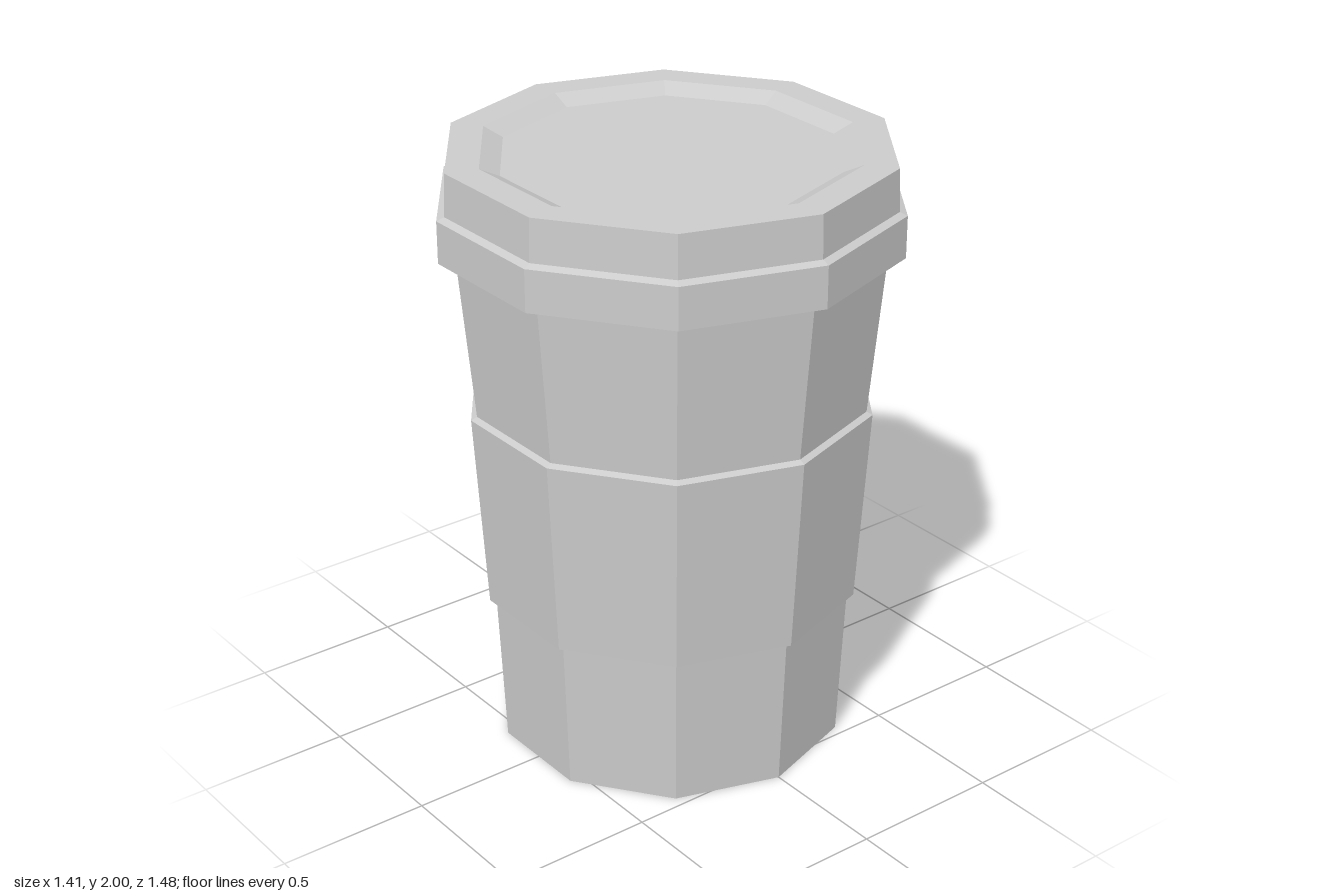
import * as THREE from 'three';

const SIDES = 10;

// Ten-sided turned part from [radius, height] pairs, listed bottom to top
function turned(name, profile, material) {
  const points = profile.map(([r, y]) => new THREE.Vector2(r, y));
  const mesh = new THREE.Mesh(new THREE.LatheGeometry(points, SIDES), material);
  mesh.name = name;
  return mesh;
}

export function createModel() {
  const group = new THREE.Group();
  group.name = 'takeawayCup';
  const material = new THREE.MeshStandardMaterial({ color: 0xcccccc, flatShading: true });

  // Tapered cup with a closed base, widening a little more towards the rim
  group.add(turned('cup', [
    [0, 0], [0.573, 0], [0.596, 0.515], [0.638, 1.18], [0.685, 1.7],
  ], material));

  // Raised sleeve band around the middle
  group.add(turned('sleeve', [
    [0.596, 0.512], [0.618, 0.52], [0.658, 1.175], [0.638, 1.185],
  ], material));

  // Lid: sloped underside, wide rim, upper wall and shallow recessed top
  group.add(turned('lid', [
    [0.683, 1.69], [0.741, 1.715], [0.741, 1.852], [0.716, 1.862],
    [0.711, 2], [0.604, 2], [0.54, 1.97], [0, 1.97],
  ], material));

  return group;
}
